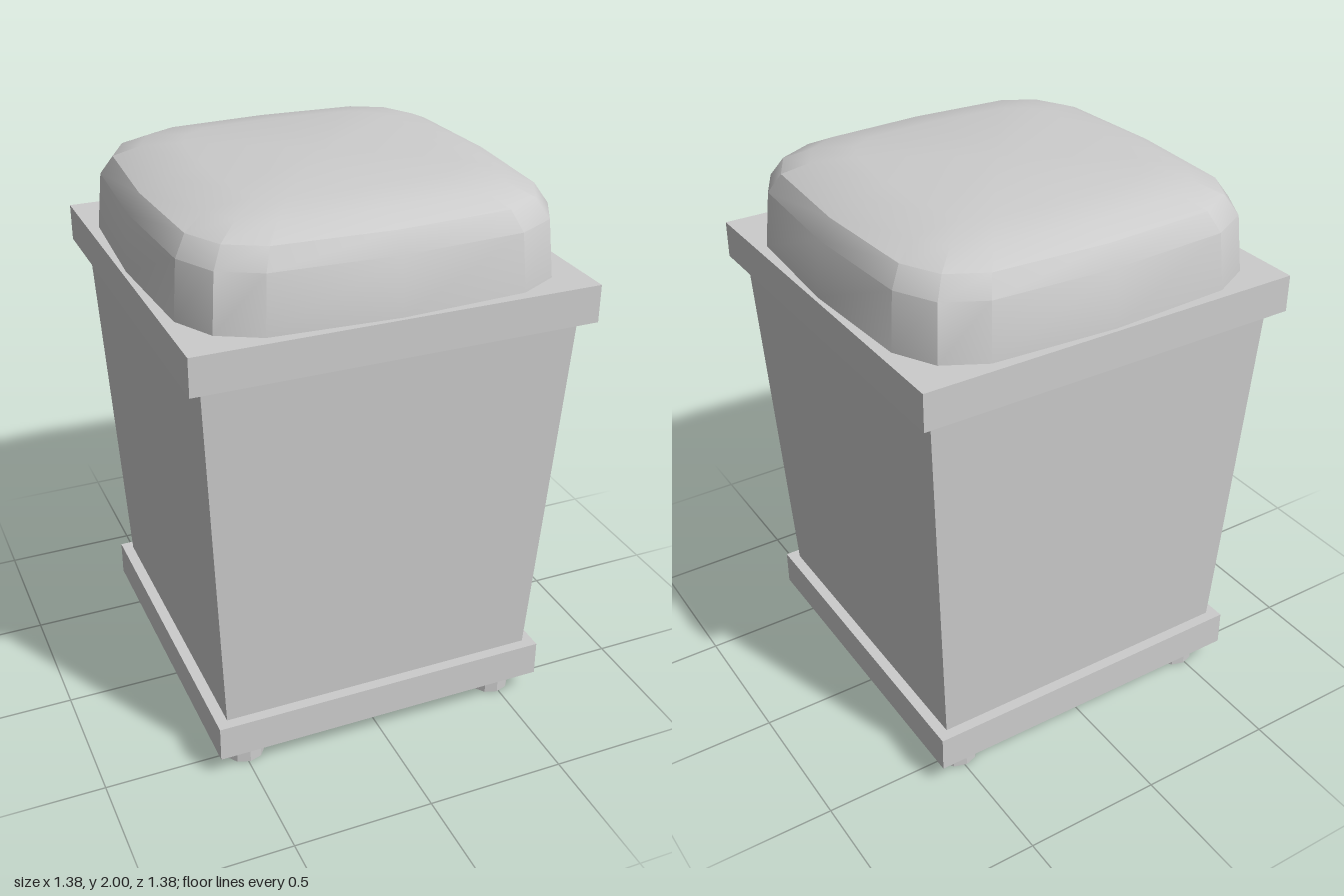
import * as THREE from 'three';
import { toCreasedNormals } from 'three/addons/utils/BufferGeometryUtils.js';

// Outline of the lid: a 16-sided rounded square with unit half-width
function lidOutline() {
  const quadrant = [[1, 0], [0.963, 0.645], [0.852, 0.852], [0.645, 0.963]];
  const points = [];
  for (let q = 0; q < 4; q++) {
    for (const [a, b] of quadrant) {
      const [x, z] = [[a, b], [-b, a], [-a, -b], [b, -a]][q];
      points.push([x, z]);
    }
  }
  return points;
}

// Loft the outline up through a domed profile of [half-width, height]
function lidGeometry() {
  const profile = [[0.675, 1.67], [0.657, 1.865], [0.615, 1.93], [0.53, 1.97], [0.4, 1.993]];
  const outline = lidOutline();
  const n = outline.length;
  const positions = [];
  const indices = [];
  for (const [r, y] of profile) {
    for (const [x, z] of outline) positions.push(x * r, y, z * r);
  }
  for (let k = 0; k < profile.length - 1; k++) {
    for (let i = 0; i < n; i++) {
      const a = k * n + i;
      const b = k * n + (i + 1) % n;
      indices.push(a, a + n, b, b, a + n, b + n);
    }
  }
  // Close the dome with a fan to its peak
  const peak = profile.length * n;
  positions.push(0, 2, 0);
  for (let i = 0; i < n; i++) indices.push(peak - n + i, peak, peak - n + (i + 1) % n);

  const geometry = new THREE.BufferGeometry();
  geometry.setAttribute('position', new THREE.Float32BufferAttribute(positions, 3));
  geometry.setIndex(indices);
  return toCreasedNormals(geometry, 0.55);
}

// Square block from y0 to y1 that may widen from bottom to top
function squareBlock(bottomHalf, topHalf, y0, y1) {
  const geometry = new THREE.BoxGeometry(2, y1 - y0, 2);
  geometry.translate(0, (y0 + y1) / 2, 0);
  const p = geometry.attributes.position;
  for (let i = 0; i < p.count; i++) {
    const half = p.getY(i) > (y0 + y1) / 2 ? topHalf : bottomHalf;
    p.setX(i, p.getX(i) * half);
    p.setZ(i, p.getZ(i) * half);
  }
  const flat = geometry.toNonIndexed();
  flat.computeVertexNormals();
  return flat;
}

export function createModel() {
  const model = new THREE.Group();
  model.name = 'litterBin';

  const grey = new THREE.MeshStandardMaterial({ color: 0xcccccc });
  grey.name = 'light grey';

  const add = (name, geometry) => {
    const mesh = new THREE.Mesh(geometry, grey);
    mesh.name = name;
    model.add(mesh);
    return mesh;
  };

  add('basePlate', squareBlock(0.617, 0.617, 0.09, 0.22));
  add('taperedBody', squareBlock(0.578, 0.643, 0.22, 1.54));
  add('rim', squareBlock(0.69, 0.69, 1.54, 1.67));
  add('domedLid', lidGeometry());

  // Four short faceted feet
  const footGeometry = toCreasedNormals(new THREE.CylinderGeometry(0.075, 0.075, 0.09, 10), 0.5);
  for (const [sx, side] of [[1, 'Left'], [-1, 'Right']]) {
    for (const [sz, end] of [[1, 'front'], [-1, 'back']]) {
      add(`${end}${side}Foot`, footGeometry).position.set(sx * 0.493, 0.045, sz * 0.493);
    }
  }
  return model;
}
